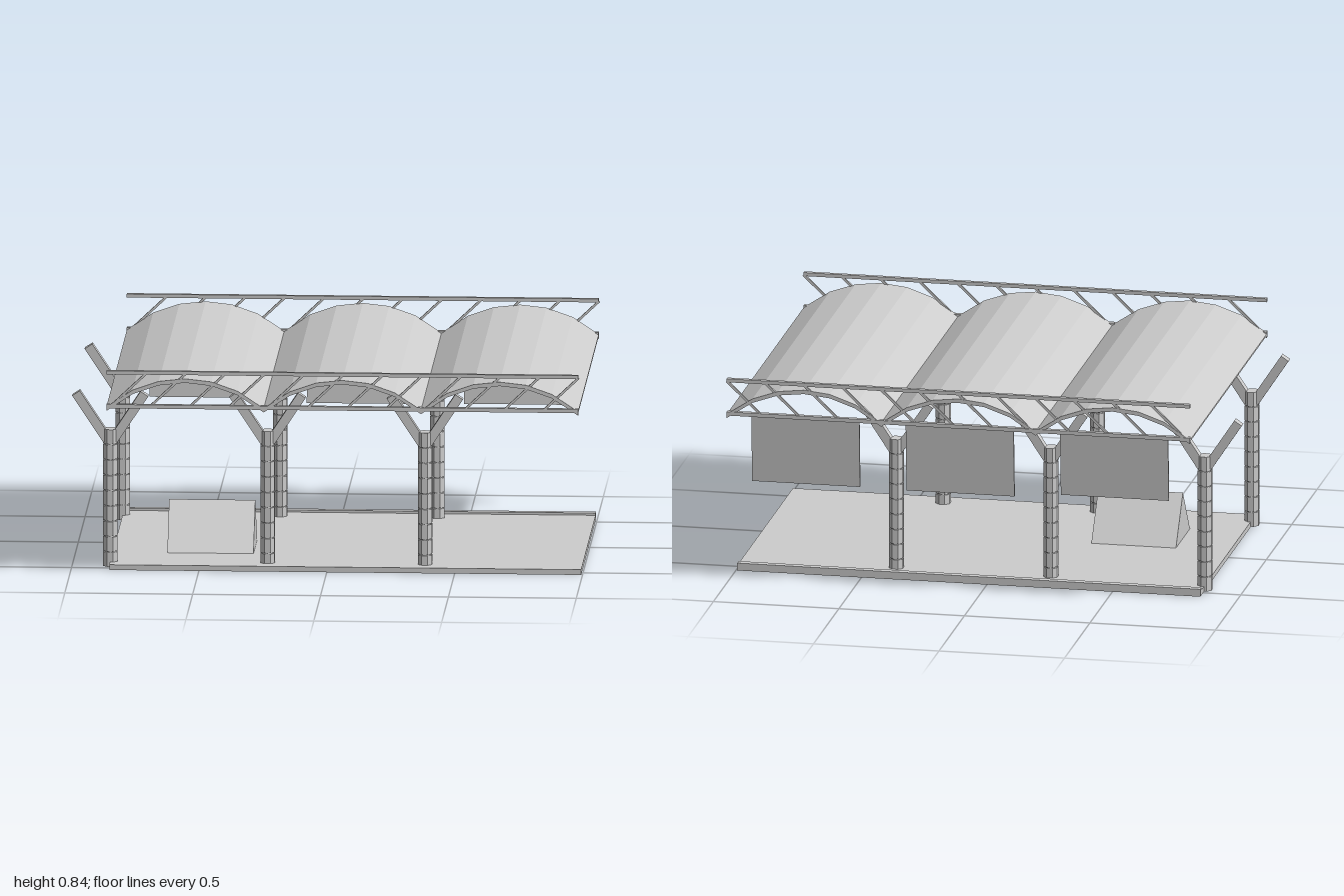
import * as THREE from 'three';

const grey = new THREE.MeshStandardMaterial({ color: 0xcccccc, flatShading: true });
grey.name = 'plain grey';

const START = -0.85, BAY = 0.615, BAYS = 3, END = START + BAY * BAYS;
const SPRING = 0.695, RISE = 0.115;

function add(parent, name, geometry, x = 0, y = 0, z = 0) {
  const mesh = new THREE.Mesh(geometry, grey);
  mesh.name = name;
  mesh.position.set(x, y, z);
  parent.add(mesh);
  return mesh;
}

// box given by its min and max corners
function block(parent, name, x0, x1, y0, y1, z0, z1) {
  return add(parent, name, new THREE.BoxGeometry(x1 - x0, y1 - y0, z1 - z0),
    (x0 + x1) / 2, (y0 + y1) / 2, (z0 + z1) / 2);
}

// bar between two points in a plane of constant z
function bar(parent, name, ax, ay, bx, by, z, width, depth) {
  const length = Math.hypot(bx - ax, by - ay);
  const mesh = add(parent, name, new THREE.BoxGeometry(length, width, depth),
    (ax + bx) / 2, (ay + by) / 2, z);
  mesh.rotation.z = Math.atan2(by - ay, bx - ax);
  return mesh;
}

// faceted arch band of one bay, extruded along z and centred on z = 0
function archBand(thickness, depth) {
  const radius = (BAY * BAY / 4 + RISE * RISE) / (2 * RISE);
  const top = [];
  for (let i = 0; i <= 6; i++) {
    const x = BAY * (i / 6 - 0.5);
    top.push(new THREE.Vector2(x, Math.sqrt(radius * radius - x * x) - radius + RISE));
  }
  const under = top.map(p => new THREE.Vector2(p.x, p.y - thickness)).reverse();
  const shape = new THREE.Shape([...top, ...under]);
  return new THREE.ExtrudeGeometry(shape, { depth, bevelEnabled: false }).translate(0, 0, -depth / 2);
}

// round post made of stacked drums, with a pair of forked arms
function makeColumn(x, z) {
  const column = new THREE.Group();
  column.name = 'column';
  const drums = 9, height = 0.55 / drums;
  const drum = new THREE.CylinderGeometry(0.03, 0.03, height - 0.004, 8).rotateY(Math.PI / 8);
  for (let i = 0; i < drums; i++) add(column, 'columnDrum', drum, 0, (i + 0.5) * height, 0);
  add(column, 'columnCore', new THREE.CylinderGeometry(0.025, 0.025, 0.54, 8), 0, 0.272, 0);
  for (const side of [-1, 1]) {
    bar(column, 'forkArm', side * 0.012, 0.505, side * 0.134, 0.69, 0, 0.036, 0.034);
  }
  column.position.set(x, 0, z);
  return column;
}

// edge truss: two chords, an arch per bay and slanted struts
function makeTruss(z) {
  const truss = new THREE.Group();
  truss.name = 'edgeTruss';
  block(truss, 'bottomChord', START, END, 0.69, 0.705, -0.01, 0.01);
  block(truss, 'topChord', START, END, 0.825, 0.839, -0.009, 0.009);
  const arch = archBand(0.016, 0.014);
  for (let i = 0; i < BAYS; i++) add(truss, 'trussArch', arch, START + BAY * (i + 0.5), SPRING, 0);
  for (let i = 0; i < BAYS * 4; i++) {
    const x = START + 0.02 + i * BAY / 4;
    bar(truss, 'trussStrut', x, 0.7, x + 0.135, 0.828, 0, 0.009, 0.009);
  }
  truss.position.z = z;
  return truss;
}

// triangular prism with its ridge along x
function prism(width, height, length) {
  const shape = new THREE.Shape();
  shape.moveTo(-width / 2, 0).lineTo(width / 2, 0).lineTo(0, height).closePath();
  return new THREE.ExtrudeGeometry(shape, { depth: length, bevelEnabled: false })
    .translate(0, 0, -length / 2).rotateY(Math.PI / 2);
}

export function createModel() {
  const model = new THREE.Group();
  model.name = 'marketShelter';

  // ground platform and rear curb
  block(model, 'platform', START, END, 0, 0.021, -0.556, 0.54);
  block(model, 'rearCurb', START, END, 0.015, 0.03, -0.556, -0.528);

  // columns in two rows
  for (const z of [-0.46, 0.46]) {
    for (let i = 0; i < BAYS; i++) model.add(makeColumn(START + i * BAY, z));
  }

  // vaulted roof
  const vault = archBand(0.007, 1.51);
  for (let i = 0; i < BAYS; i++) {
    add(model, 'roofVault', vault, START + BAY * (i + 0.5), SPRING, 0);
  }
  for (const z of [-0.755, 0.755]) model.add(makeTruss(z));

  // hanging panels along the rear edge, leaning slightly inwards
  [0.435, 0.417, 0.42].forEach((bottom, i) => {
    const height = 0.692 - bottom;
    const panel = add(model, 'hangingPanel', new THREE.BoxGeometry(0.43, height, 0.009),
      -0.545 + i * BAY, bottom + height / 2, -0.735);
    panel.rotation.x = -0.06;
  });

  // small tent on the platform
  add(model, 'tent', prism(0.275, 0.186, 0.337), -0.468, 0.021, 0.156);
  return model;
}
